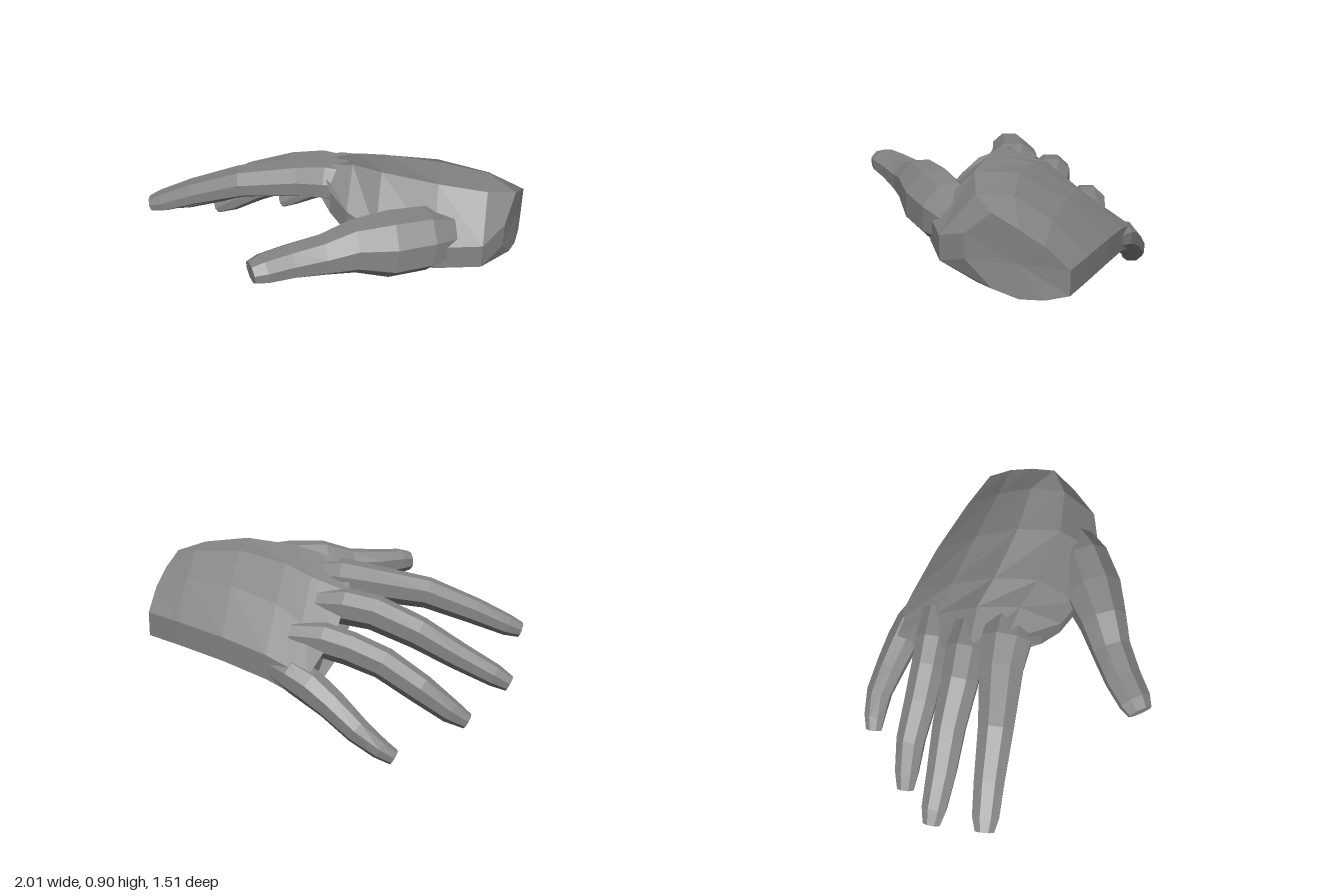
import * as THREE from 'three';

const material = new THREE.MeshStandardMaterial({ color: 0x858585, flatShading: true });
const V = (x, y, z) => new THREE.Vector3(x, y, z);

// Skin a series of equal-length rings and close both ends
function loft(name, rings) {
  const pos = [];
  const tri = (...pts) => pts.forEach(p => pos.push(p.x, p.y, p.z));
  const n = rings[0].length;
  for (let i = 0; i < rings.length - 1; i++) {
    for (let j = 0; j < n; j++) {
      const k = (j + 1) % n;
      const a = rings[i][j], b = rings[i][k], c = rings[i + 1][k], d = rings[i + 1][j];
      tri(a, d, b);
      tri(b, d, c);
    }
  }
  const centre = ring => ring.reduce((s, p) => s.add(p), V(0, 0, 0)).divideScalar(n);
  const first = rings[0], last = rings[rings.length - 1];
  const c0 = centre(first), c1 = centre(last);
  for (let j = 0; j < n; j++) {
    const k = (j + 1) % n;
    tri(c0, first[j], first[k]);
    tri(c1, last[k], last[j]);
  }
  const geometry = new THREE.BufferGeometry();
  geometry.setAttribute('position', new THREE.Float32BufferAttribute(pos, 3));
  geometry.computeVertexNormals();
  const mesh = new THREE.Mesh(geometry, material);
  mesh.name = name;
  return mesh;
}

// Eight-sided finger; each station is [x, y, z, half width, half height]
function finger(name, stations) {
  const c = stations.map(s => V(s[0], s[1], s[2]));
  const rings = stations.map(([, , , w, h], i) => {
    const t = c[Math.min(i + 1, c.length - 1)].clone().sub(c[Math.max(i - 1, 0)]).normalize();
    const side = t.clone().cross(V(0, 1, 0)).normalize();
    const up = side.clone().cross(t);
    return Array.from({ length: 8 }, (_, j) => {
      const a = (j + 0.5) * Math.PI / 4;
      return c[i].clone()
        .addScaledVector(side, w * 1.07 * Math.cos(a))
        .addScaledVector(up, h * 1.07 * Math.sin(a));
    });
  });
  return loft(name, rings);
}

// Palm section: thumb-side edge, little-finger-side edge, three heights above and three below
function palmRing([front, back, top, bottom, bulge = 0]) {
  const f = V(...front), b = V(...back), edge = 0.065;
  const at = (t, y) => {
    const p = f.clone().lerp(b, t);
    p.x -= bulge * Math.sin(Math.PI * t);
    p.y = y;
    return p;
  };
  return [
    at(1, b.y - edge), at(1, b.y + edge),
    at(0.75, top[2]), at(0.5, top[1]), at(0.25, top[0]),
    at(0, f.y + edge), at(0, f.y - edge),
    at(0.25, bottom[0]), at(0.5, bottom[1]), at(0.75, bottom[2]),
  ];
}

export function createModel() {
  const hand = new THREE.Group();
  hand.name = 'hand';

  // Palm and back of the hand, from wrist to knuckles
  const sections = [
    [[0.77, 0.66, 0.54], [1.0, 0.51, 0.1], [0.84, 0.77, 0.69], [0.46, 0.42, 0.42], -0.025],
    [[0.64, 0.61, 0.63], [0.84, 0.50, -0.05], [0.88, 0.87, 0.75], [0.43, 0.385, 0.36]],
    [[0.40, 0.62, 0.62], [0.60, 0.47, -0.25], [0.91, 0.89, 0.75], [0.42, 0.36, 0.33]],
    [[0.13, 0.63, 0.47], [0.38, 0.42, -0.41], [0.90, 0.85, 0.69], [0.48, 0.37, 0.31]],
    [[0.0, 0.68, 0.35], [0.25, 0.37, -0.50], [0.88, 0.80, 0.61], [0.57, 0.48, 0.35]],
    [[-0.07, 0.73, 0.24], [0.17, 0.35, -0.53], [0.84, 0.73, 0.55], [0.63, 0.54, 0.41], 0.12],
  ];
  hand.add(loft('palm', sections.map(palmRing)));

  hand.add(finger('indexFinger', [
    [0.12, 0.75, 0.11, 0.1, 0.08], [-0.06, 0.755, 0.055, 0.13, 0.1],
    [-0.2, 0.74, 0.01, 0.115, 0.09],
    [-0.5, 0.695, -0.055, 0.092, 0.077], [-0.75, 0.605, -0.12, 0.079, 0.065],
    [-0.92, 0.535, -0.16, 0.07, 0.052], [-0.99, 0.51, -0.175, 0.05, 0.037],
  ]));
  hand.add(finger('middleFinger', [
    [0.12, 0.66, -0.1, 0.085, 0.07], [-0.05, 0.66, -0.16, 0.1, 0.09],
    [-0.2, 0.635, -0.205, 0.098, 0.087],
    [-0.42, 0.545, -0.29, 0.087, 0.08], [-0.62, 0.435, -0.355, 0.078, 0.067],
    [-0.8, 0.345, -0.42, 0.066, 0.054], [-0.875, 0.305, -0.445, 0.046, 0.038],
  ]));
  hand.add(finger('ringFinger', [
    [0.24, 0.54, -0.28, 0.08, 0.07], [0.08, 0.53, -0.325, 0.092, 0.085],
    [-0.05, 0.495, -0.365, 0.088, 0.082],
    [-0.22, 0.43, -0.425, 0.086, 0.077], [-0.4, 0.315, -0.505, 0.077, 0.072],
    [-0.55, 0.205, -0.55, 0.064, 0.058], [-0.635, 0.155, -0.57, 0.046, 0.038],
  ]));
  hand.add(finger('littleFinger', [
    [0.36, 0.42, -0.34, 0.06, 0.06], [0.25, 0.385, -0.435, 0.08, 0.08],
    [0.16, 0.34, -0.495, 0.085, 0.085],
    [0.06, 0.27, -0.57, 0.079, 0.074], [-0.06, 0.165, -0.66, 0.069, 0.062],
    [-0.17, 0.08, -0.705, 0.058, 0.048], [-0.24, 0.037, -0.722, 0.044, 0.036],
  ]));
  // Thumb with its raised base along the front of the palm
  hand.add(finger('thumb', [
    [0.55, 0.65, 0.47, 0.1, 0.11], [0.37, 0.67, 0.52, 0.14, 0.16],
    [0.18, 0.68, 0.55, 0.15, 0.165], [0.0, 0.705, 0.575, 0.12, 0.13],
    [-0.15, 0.685, 0.595, 0.1, 0.098], [-0.32, 0.69, 0.63, 0.092, 0.077],
    [-0.45, 0.693, 0.67, 0.082, 0.066], [-0.51, 0.69, 0.687, 0.062, 0.052],
  ]));
  return hand;
}
